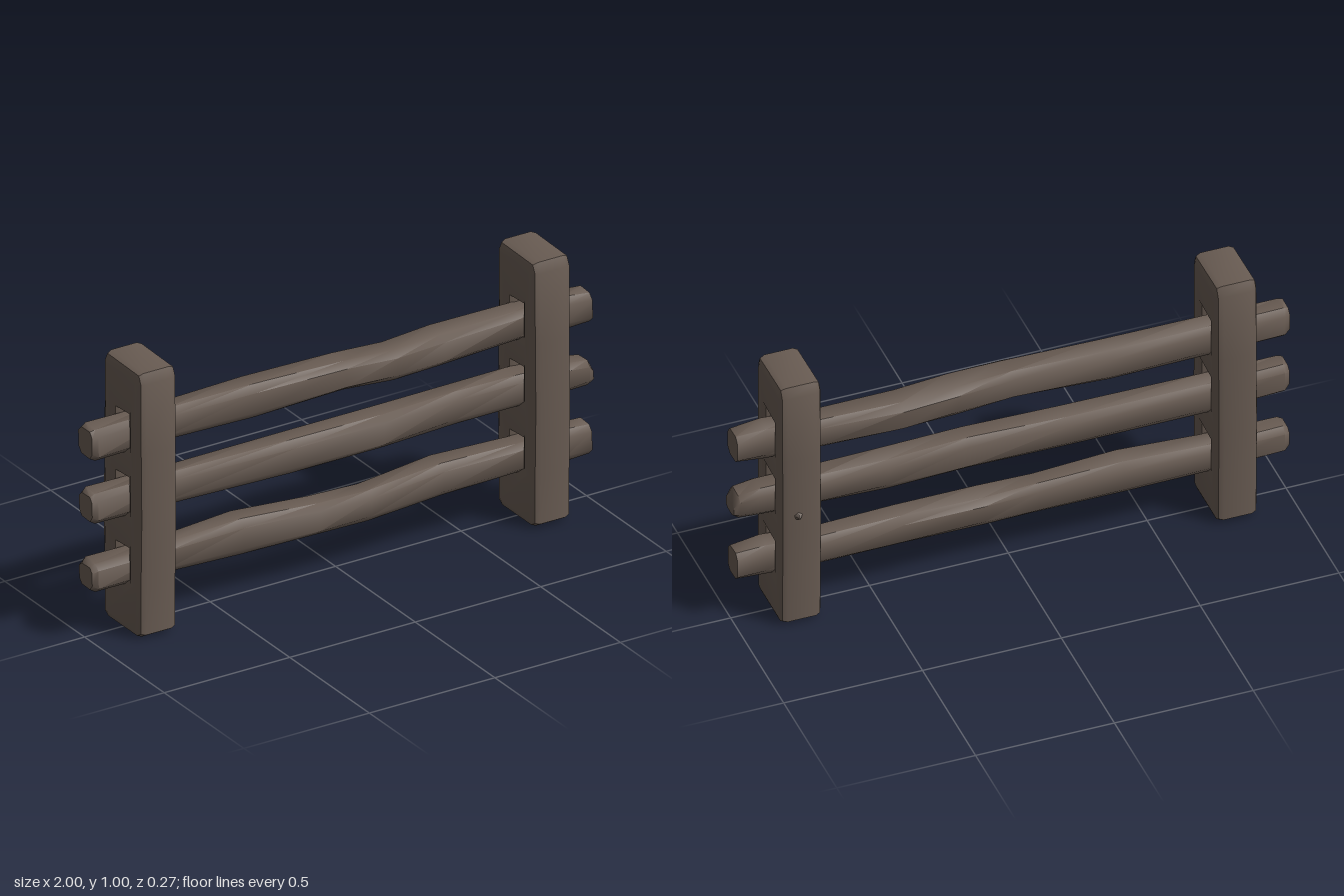
import * as THREE from 'three';
import { toCreasedNormals } from 'three/addons/utils/BufferGeometryUtils.js';

const wood = new THREE.MeshStandardMaterial({ color: 0x685b52 });
wood.name = 'weathered wood';

// Chamfered square cross-section, in units of half height (y) and half depth (z)
const SECTION = [[1, -0.6], [1, 0.6], [0.6, 1], [-0.6, 1], [-1, 0.6], [-1, -0.6], [-0.6, -1], [0.6, -1]];

// Log lofted along x through stations [x, yBottom, yTop, zBack, zFront]
function logGeometry(stations) {
  const n = SECTION.length;
  const pos = [], index = [];
  stations.forEach(([x, y0, y1, z0, z1], i) => {
    SECTION.forEach(([sy, sz], j) => {
      // slight hewn irregularity
      const k = 1 + 0.04 * Math.sin(i * 2.3 + j * 1.9) - 0.02;
      pos.push(x, (y0 + y1) / 2 + sy * k * (y1 - y0) / 2, (z0 + z1) / 2 + sz * k * (z1 - z0) / 2);
    });
  });
  for (let i = 0; i < stations.length - 1; i++) {
    for (let j = 0; j < n; j++) {
      const a = i * n + j, b = i * n + (j + 1) % n;
      index.push(a, b, a + n, b, b + n, a + n);
    }
  }
  // end caps
  const last = (stations.length - 1) * n;
  for (let j = 1; j < n - 1; j++) {
    index.push(0, j + 1, j);
    index.push(last, last + j, last + j + 1);
  }
  const g = new THREE.BufferGeometry();
  g.setAttribute('position', new THREE.Float32BufferAttribute(pos, 3));
  g.setIndex(index);
  return toCreasedNormals(g, 0.85);
}

// Plank post: side outline (z, y) with three rail slots, extruded across x
function postGeometry() {
  const bevel = 0.024, width = 0.15;
  const outline = [
    [0.1, 0.003], [0.128, 0.02], [0.13, 0.2], [0.135, 0.45], [0.131, 0.7], [0.13, 0.96],
    [0.113, 0.996], [-0.092, 1], [-0.11, 0.965], [-0.113, 0.7], [-0.117, 0.4], [-0.11, 0.02], [-0.085, 0.003],
  ];
  const shape = new THREE.Shape(outline.map(([z, y]) => new THREE.Vector2(z, y)));
  // slots leave a small gap above each rail
  for (const [y0, y1] of [[0.21, 0.312], [0.46, 0.577], [0.7, 0.815]]) {
    shape.holes.push(new THREE.Path([
      new THREE.Vector2(-0.03, y0), new THREE.Vector2(-0.03, y1 - 0.005),
      new THREE.Vector2(0.045, y1), new THREE.Vector2(0.045, y0),
    ]));
  }
  const g = new THREE.ExtrudeGeometry(shape, {
    depth: width - 2 * bevel, bevelEnabled: true, bevelThickness: bevel,
    bevelSize: bevel, bevelOffset: -bevel, bevelSegments: 2,
  });
  g.translate(0, 0, -(width - 2 * bevel) / 2);
  g.rotateY(-Math.PI / 2);
  return toCreasedNormals(g, 0.75);
}

const RAILS = {
  topRail: [
    [-1, 0.685, 0.785, -0.04, 0.05], [-0.98, 0.672, 0.793, -0.047, 0.057], [-0.7, 0.674, 0.794, -0.05, 0.052],
    [-0.35, 0.67, 0.794, -0.06, 0.055], [0, 0.682, 0.795, -0.05, 0.07], [0.2, 0.67, 0.785, -0.055, 0.076],
    [0.4, 0.668, 0.785, -0.068, 0.06], [0.7, 0.675, 0.79, -0.06, 0.052], [0.88, 0.672, 0.795, -0.05, 0.055],
    [0.99, 0.675, 0.785, -0.04, 0.055],
  ],
  middleRail: [
    [-1, 0.45, 0.54, -0.035, 0.05], [-0.98, 0.435, 0.552, -0.045, 0.055], [-0.7, 0.43, 0.55, -0.05, 0.052],
    [-0.2, 0.424, 0.548, -0.052, 0.06], [0.15, 0.424, 0.554, -0.045, 0.07], [0.45, 0.43, 0.552, -0.058, 0.055],
    [0.7, 0.432, 0.55, -0.055, 0.055], [0.9, 0.435, 0.546, -0.045, 0.06], [0.98, 0.44, 0.532, -0.04, 0.055],
    [1, 0.45, 0.5, -0.03, 0.045],
  ],
  bottomRail: [
    [-1, 0.195, 0.275, -0.035, 0.05], [-0.98, 0.18, 0.29, -0.045, 0.057], [-0.7, 0.178, 0.29, -0.05, 0.055],
    [-0.4, 0.172, 0.304, -0.055, 0.06], [-0.1, 0.165, 0.287, -0.04, 0.065], [0.1, 0.168, 0.282, -0.045, 0.072],
    [0.4, 0.178, 0.298, -0.06, 0.055], [0.7, 0.178, 0.292, -0.055, 0.052], [0.88, 0.177, 0.298, -0.045, 0.058],
    [0.99, 0.178, 0.29, -0.04, 0.052],
  ],
};

export function createModel() {
  const fence = new THREE.Group();
  fence.name = 'railFence';
  const add = (name, geometry) => {
    const mesh = new THREE.Mesh(geometry, wood);
    mesh.name = name;
    fence.add(mesh);
    return mesh;
  };

  // Upright posts
  const post = postGeometry();
  add('leftPost', post).position.x = 0.785;
  add('rightPost', post).position.x = -0.785;

  // Horizontal rails
  for (const [name, stations] of Object.entries(RAILS)) add(name, logGeometry(stations));

  // Splinter on the back of one post
  const splinter = add('splinter', new THREE.ConeGeometry(0.025, 0.035, 5));
  splinter.rotation.x = -Math.PI / 2;
  splinter.position.set(0.8, 0.465, -0.12);

  return fence;
}
